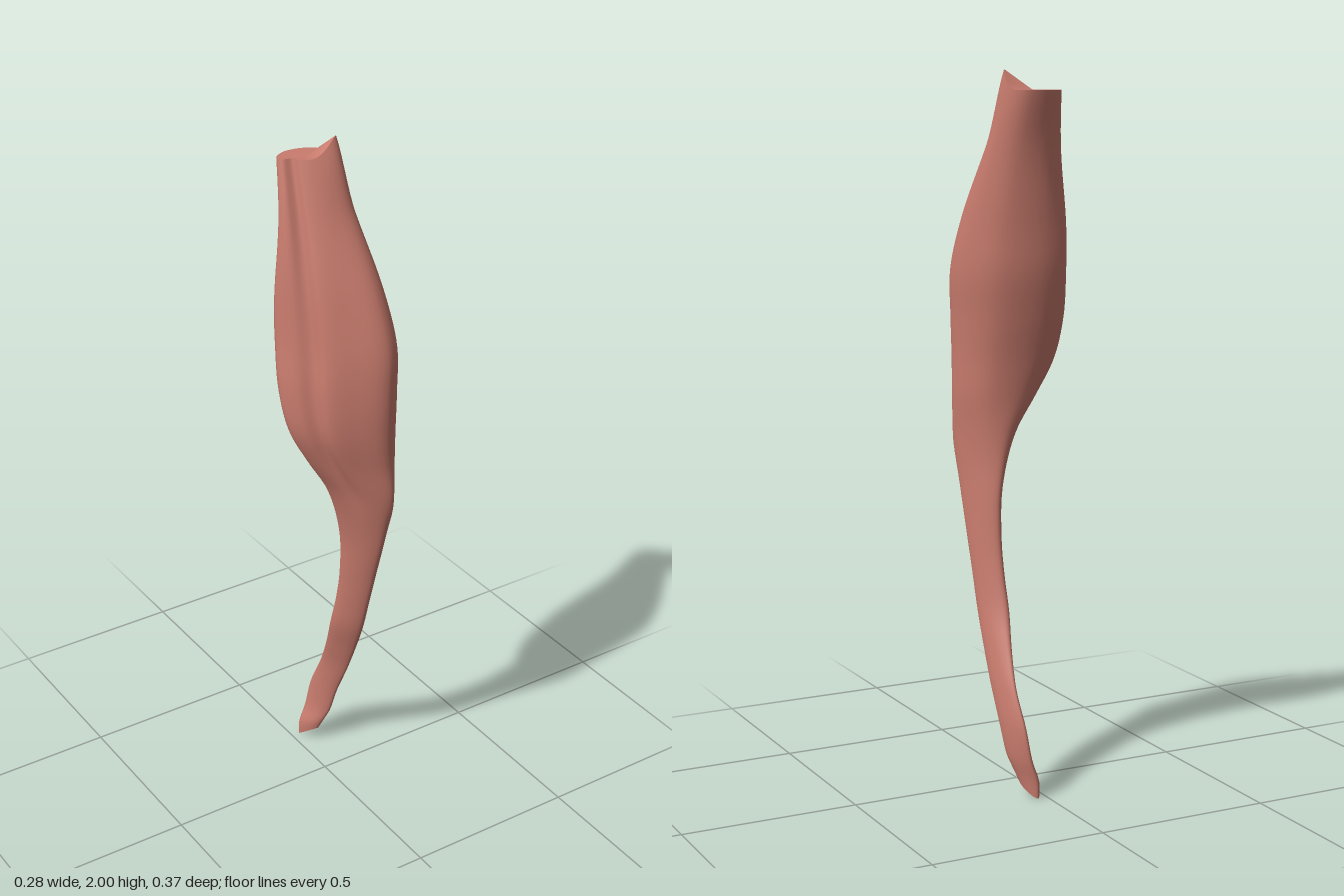
import * as THREE from 'three';

// Height, then the x and z limits of the section at that height
const sections = [
  [0.00, 0.022, 0.060, -0.185, -0.125],
  [0.05, 0.022, 0.072, -0.184, -0.113],
  [0.10, 0.038, 0.084, -0.180, -0.102],
  [0.20, 0.052, 0.096, -0.165, -0.075],
  [0.30, 0.060, 0.100, -0.122, -0.030],
  [0.40, 0.050, 0.100, -0.075, 0.015],
  [0.50, 0.037, 0.100, -0.034, 0.055],
  [0.60, 0.037, 0.102, -0.005, 0.082],
  [0.70, 0.036, 0.106, 0.014, 0.107],
  [0.85, 0.025, 0.111, 0.025, 0.148],
  [1.00, -0.018, 0.120, 0.024, 0.180],
  [1.10, -0.075, 0.125, 0.014, 0.181],
  [1.20, -0.123, 0.126, -0.005, 0.185],
  [1.32, -0.140, 0.130, -0.033, 0.187],
  [1.45, -0.135, 0.136, -0.058, 0.177],
  [1.60, -0.127, 0.120, -0.071, 0.130],
  [1.80, -0.103, 0.084, -0.092, 0.037],
  [1.945, -0.085, 0.060, -0.128, -0.023],
];

// Section outlines inside a -1..1 box, from the right edge round by the front
const bellyShape = [[-1, -0.85], [-0.82, -0.3], [-0.55, -0.06], [-0.45, 0.3], [0, 0.66],
  [0.65, 1], [1, 0.8], [1, 0.15], [0.52, -0.65], [-0.4, -1]];
const topShape = [[-1, -0.5], [-0.9, -0.1], [-0.58, 0.02], [-0.42, 0.45], [0.1, 0.9],
  [0.7, 1], [1, 0.8], [1, 0], [0.5, -0.8], [-0.4, -1]];
const tendonShape = bellyShape.map((_, i) => {
  const t = Math.PI - (i - 0.4) * Math.PI * 0.2;
  return [Math.cos(t), Math.sin(t + 0.8)];
});

const SIDES = 48, LEVELS = 90, TOP = 1.945;
const { smoothstep, lerp } = THREE.MathUtils;
const limits = new THREE.CubicInterpolant(
  sections.map(s => s[0]), sections.flatMap(s => s.slice(1)), 4);

// Blend the outlines for a height and fit the smooth loop to the limits
function ring(y) {
  const tendon = 1 - smoothstep(y, 0.85, 1.15);
  const top = smoothstep(y, 1.5, TOP);
  const control = bellyShape.map((p, i) => {
    const mix = k => lerp(lerp(p[k], tendonShape[i][k], tendon), topShape[i][k], top);
    return new THREE.Vector3(mix(0), 0, mix(1));
  });
  const loop = new THREE.CatmullRomCurve3(control, true, 'centripetal').getPoints(SIDES).slice(0, SIDES);
  const box = new THREE.Box3().setFromPoints(loop);
  const [x0, x1, z0, z1] = limits.evaluate(y);
  return loop.map(p => {
    const u = (p.x - box.min.x) / (box.max.x - box.min.x);
    const v = (p.z - box.min.z) / (box.max.z - box.min.z);
    // Slanted lower end, and a peak on the upper end
    let h = y + 0.045 * v * Math.max(0, 1 - y / 0.12);
    h += 0.055 * smoothstep(y, 1.8, TOP) * Math.exp(-((u - 0.92) ** 2 + (v - 0.9) ** 2) / 0.07);
    return new THREE.Vector3(lerp(x0, x1, u), h, lerp(z0, z1, v));
  });
}

function geometryFrom(points, index) {
  const g = new THREE.BufferGeometry().setFromPoints(points);
  g.setIndex(index);
  g.computeVertexNormals();
  return g;
}

// Closes an end with a fan round a slightly sunken centre
function endCap(loop, up, dip) {
  const centre = loop.reduce((s, p) => s.add(p), new THREE.Vector3()).divideScalar(loop.length);
  centre.y += dip;
  const index = [];
  for (let i = 0; i < SIDES; i++) {
    const j = (i + 1) % SIDES;
    index.push(SIDES, up ? i : j, up ? j : i);
  }
  return geometryFrom([...loop, centre], index);
}

export function createModel() {
  const group = new THREE.Group();
  group.name = 'muscle';
  const flesh = new THREE.MeshStandardMaterial({ color: 0xc87b6d });
  flesh.name = 'flesh';

  const rings = [];
  for (let k = 0; k <= LEVELS; k++) rings.push(ring(TOP * k / LEVELS));

  // Belly and tendon as one smooth skin
  const index = [];
  for (let k = 0; k < LEVELS; k++) {
    for (let i = 0; i < SIDES; i++) {
      const j = (i + 1) % SIDES;
      const a = k * SIDES + i, b = k * SIDES + j;
      index.push(a, b, b + SIDES, a, b + SIDES, a + SIDES);
    }
  }
  const add = (name, geometry) => {
    const mesh = new THREE.Mesh(geometry, flesh);
    mesh.name = name;
    group.add(mesh);
  };
  add('bellyAndTendon', geometryFrom(rings.flat(), index));
  add('upperEnd', endCap(rings[LEVELS], true, -0.012));
  add('lowerEnd', endCap(rings[0], false, 0.006));
  return group;
}
